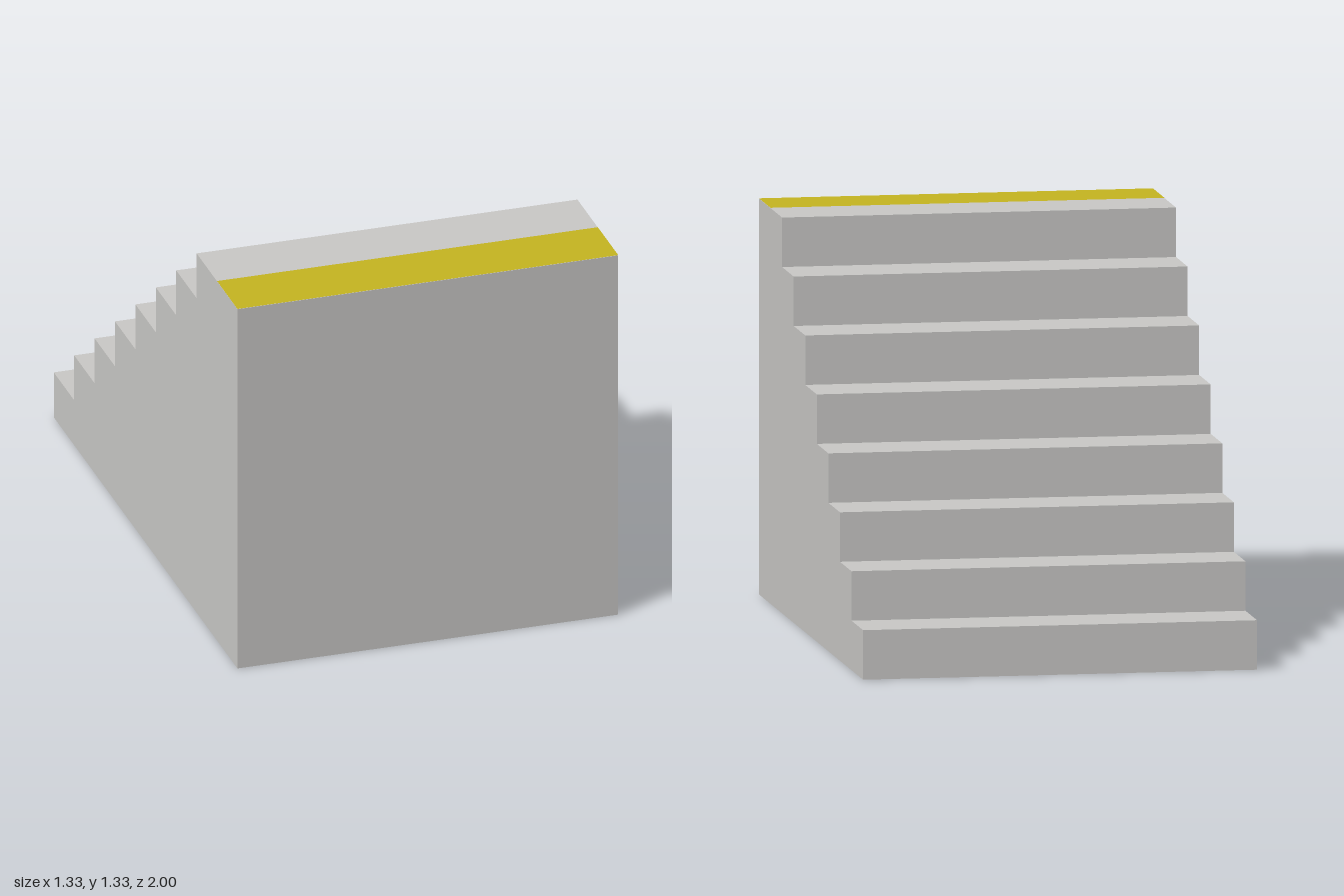
import * as THREE from 'three';

const STEPS = 8;
const RISE = 1 / 6;
const TREAD = 2 / 9;
const WIDTH = 4 / 3;
const HEIGHT = STEPS * RISE;

export function createModel() {
  const concrete = new THREE.MeshStandardMaterial({ color: 0xc9c8c6 });
  concrete.name = 'concrete grey';
  const paint = new THREE.MeshStandardMaterial({ color: 0xc5b520 });
  paint.name = 'landing yellow';

  const model = new THREE.Group();
  model.name = 'staircase';

  // Solid flight: stepped side profile (z, y) extruded across the width
  const profile = new THREE.Shape();
  profile.moveTo(1, 0);
  profile.lineTo(1, HEIGHT);
  for (let i = STEPS; i > 0; i--) {
    const z = -1 + (i - 1) * TREAD;
    profile.lineTo(z, i * RISE);
    profile.lineTo(z, (i - 1) * RISE);
  }
  profile.closePath();
  const flight = new THREE.ExtrudeGeometry(profile, { depth: WIDTH, bevelEnabled: false });
  flight.rotateY(-Math.PI / 2);
  flight.translate(WIDTH / 2, 0, 0);
  const stairs = new THREE.Mesh(flight, concrete);
  stairs.name = 'steps';
  model.add(stairs);

  // Painted strip along the front half of the top landing
  const strip = new THREE.PlaneGeometry(WIDTH, TREAD).rotateX(-Math.PI / 2);
  const landing = new THREE.Mesh(strip, paint);
  landing.name = 'landingStrip';
  landing.position.set(0, HEIGHT + 0.001, 1 - TREAD / 2);
  model.add(landing);

  return model;
}
